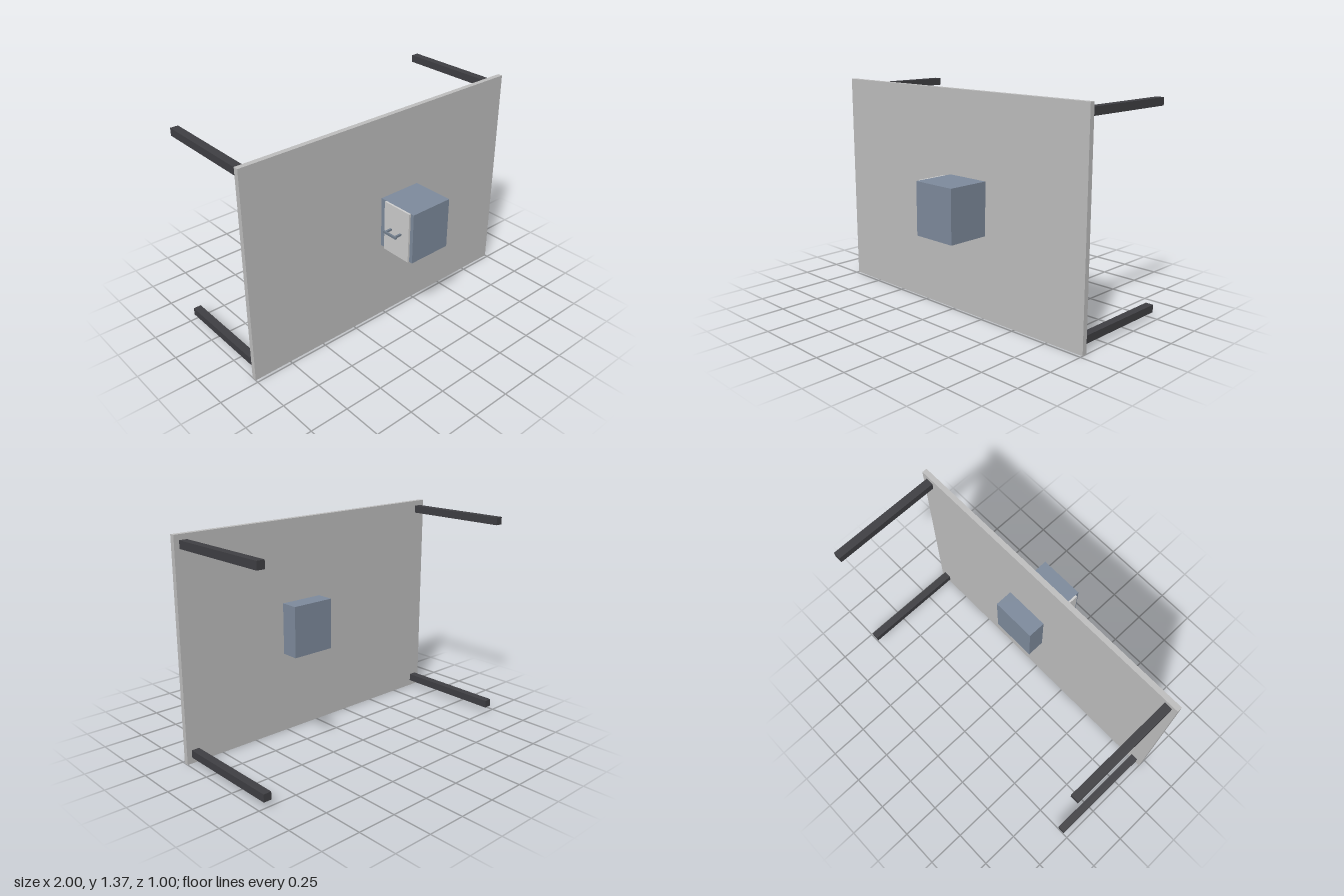
import * as THREE from 'three';

const material = (name, color) => {
  const m = new THREE.MeshStandardMaterial({ color });
  m.name = name;
  return m;
};

// Box given by its lower and upper corners
function box(name, mat, [x0, y0, z0], [x1, y1, z1]) {
  const mesh = new THREE.Mesh(new THREE.BoxGeometry(x1 - x0, y1 - y0, z1 - z0), mat);
  mesh.position.set((x0 + x1) / 2, (y0 + y1) / 2, (z0 + z1) / 2);
  mesh.name = name;
  return mesh;
}

export function createModel() {
  const silver = material('silver panel', 0xc0c0c0);
  const charcoal = material('charcoal leg', 0x404044);
  const slate = material('slate cabinet', 0x7f8c9e);
  const pale = material('pale drawer', 0xd0d0d0);
  const steel = material('steel handle', 0x75818f);

  const group = new THREE.Group();
  group.name = 'table on its side';

  // Upright table top
  group.add(box('tableTop', silver, [-1, 0, 0.198], [1, 1.368, 0.23]));

  // Four legs pointing backwards
  for (const side of [-1, 1]) {
    for (const y of [0.061, 1.311]) {
      const x = side * 0.942;
      group.add(box('leg', charcoal, [x - 0.025, y - 0.024, -0.5], [x + 0.025, y + 0.024, 0.198]));
    }
  }

  // Cabinet passing through the table top
  group.add(box('cabinet', slate, [-0.03, 0.521, 0.083], [0.264, 0.85, 0.502]));

  // Drawer front and handle on the right side
  group.add(box('drawerFront', pale, [-0.043, 0.521, 0.272], [-0.03, 0.85, 0.478]));
  const handle = new THREE.Group();
  handle.name = 'handle';
  for (const z of [0.332, 0.412]) {
    handle.add(box('handlePost', steel, [-0.087, 0.679, z - 0.006], [-0.043, 0.691, z + 0.006]));
  }
  handle.add(box('handleGrip', steel, [-0.098, 0.678, 0.32], [-0.086, 0.692, 0.425]));
  group.add(handle);

  return group;
}
